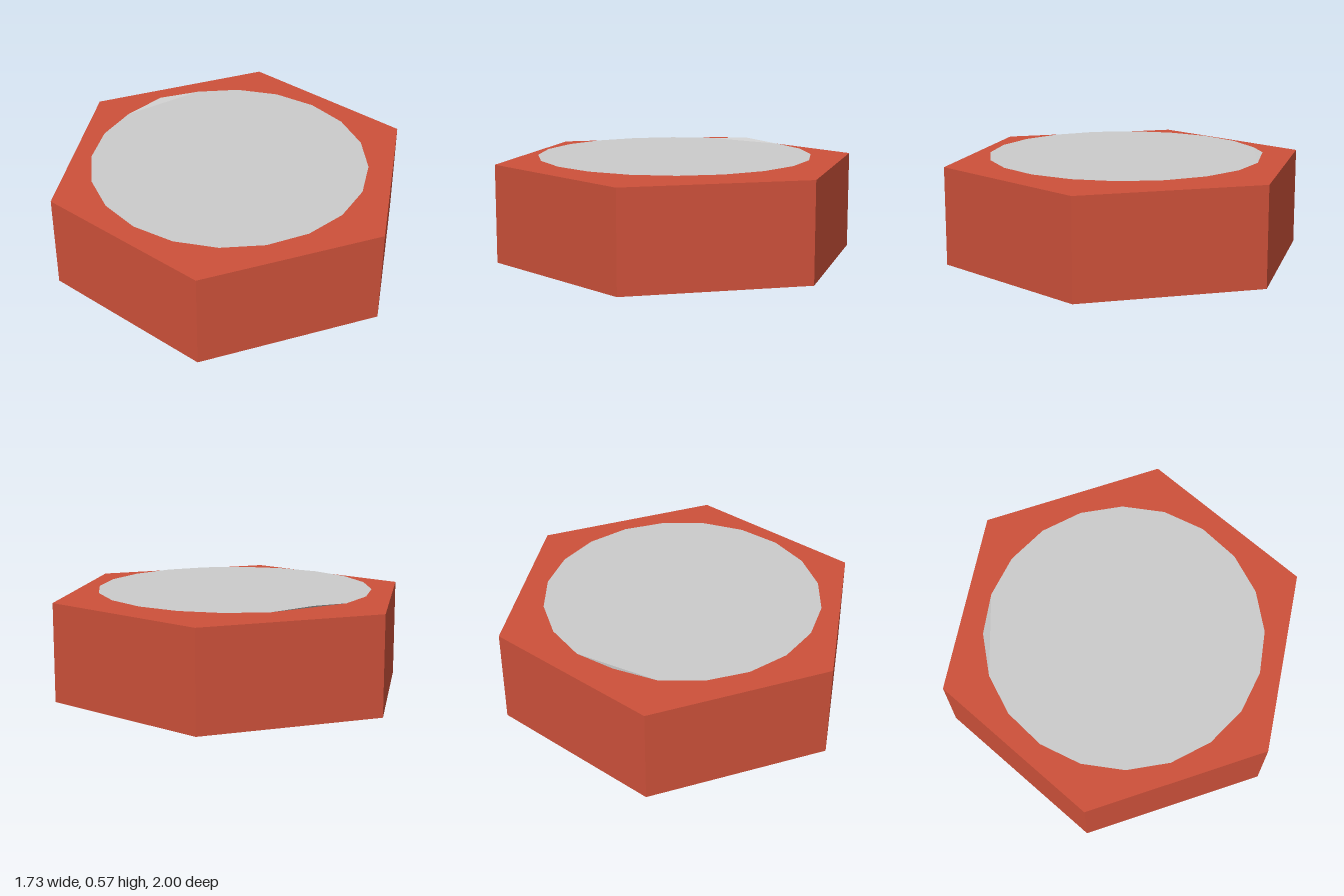
import * as THREE from 'three';

// Flat fan of a regular polygon, with its last corner slightly lifted
function liftedDisc(radius, sides, lift) {
  const positions = [], indices = [];
  for (let i = 0; i < sides; i++) {
    const a = ((i + 2) / sides) * Math.PI * 2;
    positions.push(radius * Math.sin(a), i === sides - 1 ? lift : 0, -radius * Math.cos(a));
    if (i > 1) indices.push(0, i, i - 1);
  }
  const geometry = new THREE.BufferGeometry();
  geometry.setAttribute('position', new THREE.Float32BufferAttribute(positions, 3));
  geometry.setIndex(indices);
  geometry.computeVertexNormals();
  return geometry;
}

export function createModel() {
  const model = new THREE.Group();
  model.name = 'hexTile';

  // Hexagonal block with corners at the front and back
  const height = 0.535;
  const block = new THREE.Mesh(
    new THREE.CylinderGeometry(1, 1, height, 6),
    new THREE.MeshStandardMaterial({ color: 0xcd513a, flatShading: true })
  );
  block.name = 'hexBlock';
  block.position.y = height / 2;
  model.add(block);

  // Thin surface sheet floating just above the block
  const disc = new THREE.Mesh(
    liftedDisc(0.75, 20, 0.015),
    new THREE.MeshStandardMaterial({ color: 0xcccccc, flatShading: true, side: THREE.DoubleSide })
  );
  disc.name = 'topDisc';
  disc.position.set(-0.018, 0.558, 0);
  model.add(disc);

  return model;
}
